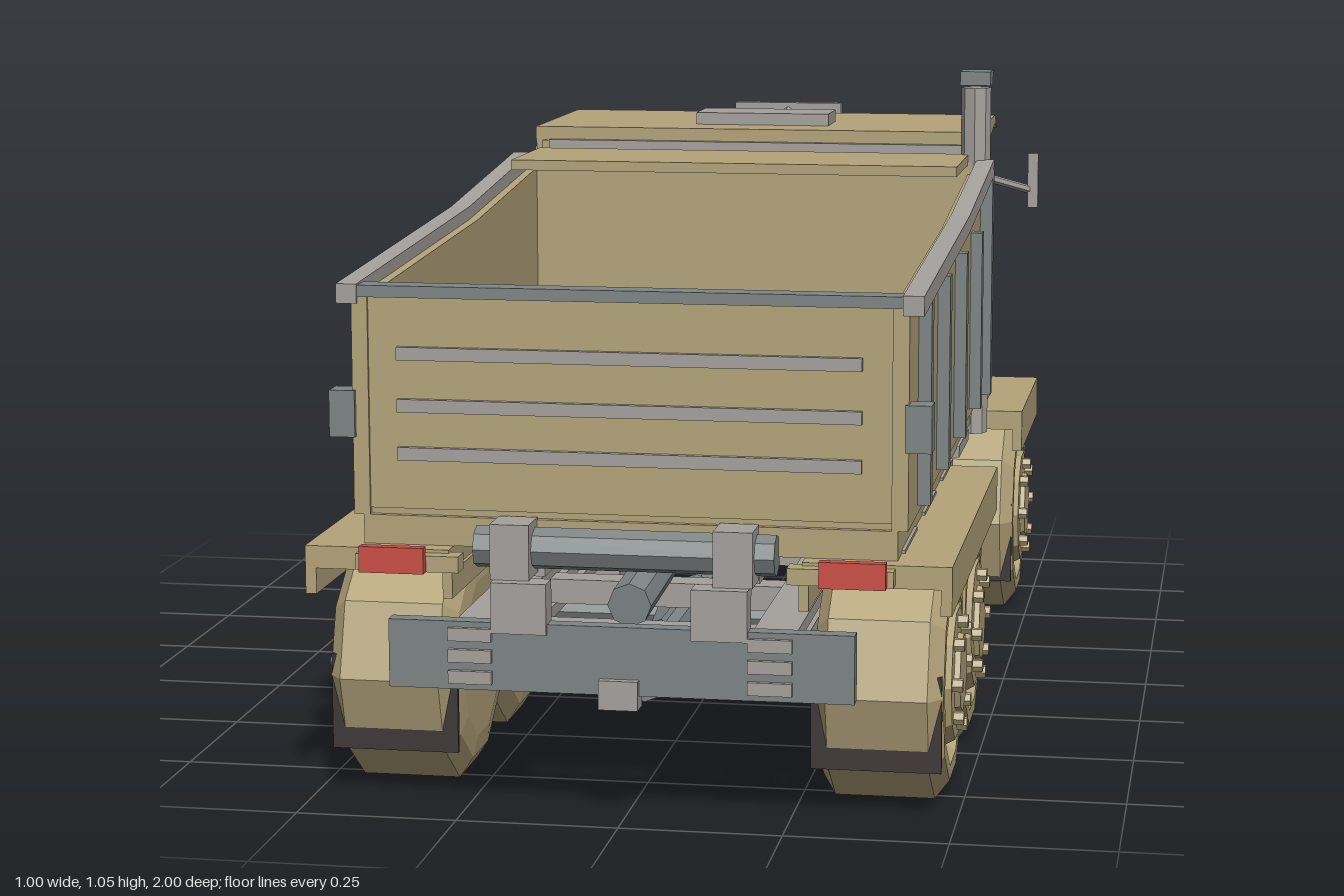
import * as THREE from 'three';
import { ConvexGeometry } from 'three/addons/geometries/ConvexGeometry.js';

const material = (name, color, side = THREE.FrontSide) => {
  const m = new THREE.MeshStandardMaterial({ color, side });
  m.name = name;
  return m;
};

export function createModel() {
  const root = new THREE.Group();
  root.name = 'dumpTruck';
  const tan = material('tanPaint', 0xb4a47a);
  const light = material('lightGrey', 0xa5a19d);
  const steel = material('blueGrey', 0x7e8585);
  const dark = material('darkRubber', 0x3f3838);
  const red = material('redLamp', 0xcb4f45);

  const add = (name, geo, mat, parent = root) => {
    const mesh = new THREE.Mesh(geo, mat);
    mesh.name = name;
    parent.add(mesh);
    return mesh;
  };
  const flat = (geo) => {
    const g = geo.toNonIndexed();
    g.computeVertexNormals();
    return g;
  };
  // Box from its limits
  const box = (name, mat, x0, x1, y0, y1, z0, z1) => {
    const m = add(name, new THREE.BoxGeometry(x1 - x0, y1 - y0, z1 - z0), mat);
    m.position.set((x0 + x1) / 2, (y0 + y1) / 2, (z0 + z1) / 2);
    return m;
  };
  // Same box on both sides
  const pair = (name, mat, x0, x1, ...r) => {
    box(name + 'Left', mat, x0, x1, ...r);
    box(name + 'Right', mat, -x1, -x0, ...r);
  };
  // Outline in (z, y), extruded from x0 to x1
  const plate = (name, mat, pts, x0, x1, hole) => {
    const toV = (p) => p.map(([z, y]) => new THREE.Vector2(z, y));
    const shape = new THREE.Shape(toV(pts));
    if (hole) shape.holes.push(new THREE.Path(toV(hole)));
    const g = new THREE.ExtrudeGeometry(shape, { depth: x1 - x0, bevelEnabled: false });
    return add(name, g.rotateY(-Math.PI / 2).translate(x1, 0, 0), mat);
  };
  const platePair = (name, mat, pts, x0, x1, hole) => {
    plate(name + 'Left', mat, pts, x0, x1, hole);
    plate(name + 'Right', mat, pts, -x1, -x0, hole);
  };
  // Faceted rod between two points
  const rod = (name, mat, a, b, r, sides = 8) => {
    const p = new THREE.Vector3(...a), q = new THREE.Vector3(...b);
    const d = q.clone().sub(p);
    const m = add(name, flat(new THREE.CylinderGeometry(r, r, d.length(), sides)), mat);
    m.position.copy(p).add(q).multiplyScalar(0.5);
    m.quaternion.setFromUnitVectors(new THREE.Vector3(0, 1, 0), d.normalize());
    return m;
  };

  // ---- Wheels
  const profile = [[0, 0.275], [0.13, 0.275], [0.165, 0.28], [0.197, 0.3], [0.197, 0.455],
    [0.168, 0.477], [0.145, 0.477], [0.135, 0.462], [0.115, 0.465], [0.105, 0.483], [0, 0.483]]
    .map(([r, x]) => new THREE.Vector2(r, x));
  const tyreGeo = flat(new THREE.LatheGeometry(profile, 10)).rotateZ(-Math.PI / 2);
  const hubGeo = flat(new THREE.CylinderGeometry(0.062, 0.066, 0.02, 8)).rotateZ(-Math.PI / 2);
  const boltGeo = flat(new THREE.CylinderGeometry(0.011, 0.011, 0.02, 6)).rotateZ(-Math.PI / 2);
  for (const z of [0.706, 0.369, -0.634]) {
    for (const turn of [0, Math.PI]) {
      const wheel = new THREE.Group();
      wheel.name = 'wheel';
      wheel.position.set(0, 0.187, z);
      wheel.rotation.y = turn;
      root.add(wheel);
      add('tyre', tyreGeo, tan, wheel);
      add('hub', hubGeo, tan, wheel).position.x = 0.482;
      for (let i = 0; i < 8; i++) {
        const a = i * Math.PI / 4;
        add('wheelBolt', boltGeo, tan, wheel).position.set(0.489, 0.082 * Math.sin(a), 0.082 * Math.cos(a));
      }
    }
    rod('axle', steel, [-0.3, 0.187, z], [0.3, 0.187, z], 0.032);
    rod('differential', steel, [0, 0.187, z - 0.07], [0, 0.187, z + 0.07], 0.05);
  }
  pair('rearMudFlap', dark, 0.275, 0.475, 0.07, 0.22, 0.868, 0.876);
  pair('frontMudFlap', dark, 0.275, 0.475, 0.07, 0.22, -0.48, -0.472);

  // ---- Chassis
  for (const y of [0.21, 0.243, 0.276]) pair('frameRail', light, 0.195, 0.262, y, y + 0.02, -0.89, 0.99);
  pair('frameWeb', light, 0.215, 0.24, 0.21, 0.296, -0.2, 0.95);
  for (const z of [-0.8, -0.4, -0.1, 0.2, 0.54, 0.85]) box('crossMember', light, -0.22, 0.22, 0.24, 0.28, z - 0.025, z + 0.025);
  rod('driveShaft', steel, [0, 0.2, -0.6], [0, 0.2, 0.7], 0.022);
  box('gearbox', steel, -0.1, 0.1, 0.2, 0.33, -0.6, -0.3);
  box('rearPlate', steel, -0.355, 0.355, 0.2, 0.305, 0.955, 0.982);
  box('towHitch', light, -0.03, 0.03, 0.18, 0.225, 0.96, 0.995);
  pair('hingeBracket', light, 0.11, 0.195, 0.29, 0.368, 0.95, 0.99);
  pair('hingeLug', light, 0.14, 0.2, 0.368, 0.453, 0.905, 0.97);
  rod('hingeBar', steel, [-0.23, 0.41, 0.925], [0.23, 0.41, 0.925], 0.032);
  rod('tipRam', steel, [0, 0.32, 0.9], [0, 0.37, 0.0], 0.034);
  pair('tailLamp', red, 0.3, 0.4, 0.375, 0.415, 0.965, 0.982);
  pair('lampBracket', tan, 0.25, 0.41, 0.375, 0.4, 0.93, 0.965);
  const tank = rod('fuelTank', steel, [0.35, 0.21, -0.21], [0.35, 0.21, 0.19], 0.098);
  tank.rotateY(Math.PI / 8);
  box('tankShelf', light, 0.22, 0.36, 0.3, 0.365, -0.21, 0.19);
  box('batteryBox', light, -0.4, -0.18, 0.14, 0.365, -0.21, 0.05);
  box('frontBumper', steel, -0.413, 0.413, 0.232, 0.312, -1, -0.93);
  pair('headlamp', light, 0.29, 0.38, 0.335, 0.39, -0.95, -0.9);

  // ---- Fenders
  const fender = (name, z0, z1) => {
    pair(name + 'Top', tan, 0.27, 0.495, 0.37, 0.405, z0, z1);
    pair(name + 'Skirt', tan, 0.478, 0.495, 0.33, 0.37, z0, z1);
    pair(name + 'InnerSkirt', tan, 0.265, 0.28, 0.33, 0.37, z0, z1);
  };
  fender('rearFender', 0.13, 0.942);
  fender('frontFender', -0.84, -0.432);

  // ---- Tipper body
  platePair('bodySide', tan, [[-0.31, 0.45], [0.91, 0.45], [0.91, 0.785], [0.18, 0.82], [-0.31, 0.865]], 0.4, 0.425);
  platePair('topRail', light, [[0.915, 0.775], [0.915, 0.805], [0.18, 0.842], [-0.31, 0.89], [-0.31, 0.86], [0.18, 0.812]], 0.415, 0.447);
  box('bodyFloor', tan, -0.4, 0.4, 0.45, 0.47, -0.31, 0.9);
  box('bodyFrontWall', tan, -0.41, 0.41, 0.45, 0.885, -0.32, -0.295);
  box('tailgate', tan, -0.402, 0.402, 0.46, 0.785, 0.885, 0.905);
  box('tailgateRail', steel, -0.425, 0.425, 0.785, 0.803, 0.87, 0.912);
  for (const y of [0.7, 0.62, 0.546]) box('tailgateSlat', light, -0.355, 0.355, y - 0.01, y + 0.01, 0.905, 0.915);
  box('cabGuard', tan, -0.4, 0.4, 0.88, 0.898, -0.32, -0.08);
  box('underFrame', tan, -0.41, 0.41, 0.405, 0.45, -0.3, 0.91);
  pair('subframe', light, 0.13, 0.2, 0.36, 0.405, -0.32, 0.9);
  for (const z of [0.765, 0.473, 0.18, -0.115]) {
    pair('sideRib', steel, 0.425, 0.445, 0.465, 0.78, z - 0.016, z + 0.016);
    pair('bodyRest', light, 0.3, 0.415, 0.39, 0.41, z - 0.09, z + 0.09);
  }
  pair('gateLatch', steel, 0.42, 0.46, 0.57, 0.642, 0.877, 0.918);
  pair('frontPost', steel, 0.425, 0.447, 0.46, 0.87, -0.315, -0.285);

  // ---- Cab
  platePair('cabSide', tan,
    [[-0.35, 0.4], [-0.35, 0.91], [-0.65, 0.91], [-0.737, 0.55], [-0.737, 0.4]], 0.385, 0.412,
    [[-0.375, 0.565], [-0.375, 0.895], [-0.638, 0.895], [-0.712, 0.565]]);
  pair('rearWindow', steel, 0.391, 0.4, 0.565, 0.895, -0.512, -0.375);
  pair('frontWindow', steel, 0.391, 0.4, 0.565, 0.895, -0.635, -0.545);
  pair('windowPost', light, 0.395, 0.408, 0.565, 0.895, -0.59, -0.572);
  pair('grabHandle', dark, 0.405, 0.418, 0.57, 0.86, -0.432, -0.418);
  box('cabBack', tan, -0.4, 0.4, 0.4, 0.91, -0.365, -0.345);
  box('cabBackStrip', light, -0.385, 0.385, 0.893, 0.912, -0.35, -0.335);
  box('cabFloor', tan, -0.39, 0.39, 0.4, 0.43, -0.737, -0.35);
  box('cabBase', tan, -0.27, 0.27, 0.325, 0.4, -0.8, -0.35);
  box('firewall', tan, -0.39, 0.39, 0.4, 0.56, -0.737, -0.72);
  plate('windscreen', steel, [[-0.647, 0.905], [-0.655, 0.905], [-0.737, 0.56], [-0.729, 0.56]], -0.387, 0.387);
  plate('roof', tan, [[-0.35, 0.905], [-0.35, 0.935], [-0.74, 0.935], [-0.772, 0.908], [-0.735, 0.92], [-0.65, 0.905]], -0.413, 0.413);
  box('roofHatch', light, -0.125, 0.125, 0.935, 0.957, -0.55, -0.442);
  box('lightBar', light, -0.105, 0.105, 0.925, 0.95, -0.81, -0.785);
  rod('lightBarMount', light, [0, 0.93, -0.74], [0, 0.935, -0.79], 0.008, 6);
  pair('stepBox', light, 0.405, 0.422, 0.41, 0.53, -0.6, -0.39);
  pair('seat', dark, 0.09, 0.29, 0.43, 0.53, -0.54, -0.4);
  const wheelRim = add('steeringWheel', flat(new THREE.TorusGeometry(0.055, 0.008, 5, 12)), dark);
  wheelRim.position.set(-0.18, 0.62, -0.665);
  wheelRim.rotation.x = -1.0;
  rod('steeringColumn', dark, [-0.18, 0.62, -0.665], [-0.18, 0.55, -0.71], 0.009, 6);

  // Mirrors
  pair('mirror', light, 0.478, 0.498, 0.757, 0.862, -0.75, -0.73);
  for (const s of [-1, 1]) rod('mirrorArm', light, [s * 0.4, 0.82, -0.68], [s * 0.485, 0.79, -0.74], 0.008, 6);

  // Exhaust stack
  rod('exhaustPipe', light, [0.412, 0.385, -0.32], [0.412, 1.02, -0.32], 0.027);
  box('exhaustCap', steel, 0.385, 0.44, 1.025, 1.05, -0.348, -0.292);

  // ---- Hood and grille
  const corners = [];
  for (const s of [-1, 1]) {
    for (const [x, y, z] of [[0.29, 0.6, -0.735], [0.315, 0.4, -0.735], [0.255, 0.518, -0.965], [0.27, 0.335, -0.955], [0.305, 0.335, -0.8]])
      corners.push(new THREE.Vector3(s * x, y, z));
  }
  add('hood', new ConvexGeometry(corners), tan);
  box('grillePanel', steel, -0.235, 0.235, 0.36, 0.505, -0.968, -0.955);
  for (let i = 0; i < 6; i++) box('grilleSlat', light, -0.225, 0.225, 0.368 + i * 0.024, 0.38 + i * 0.024, -0.975, -0.966);

  return root;
}
